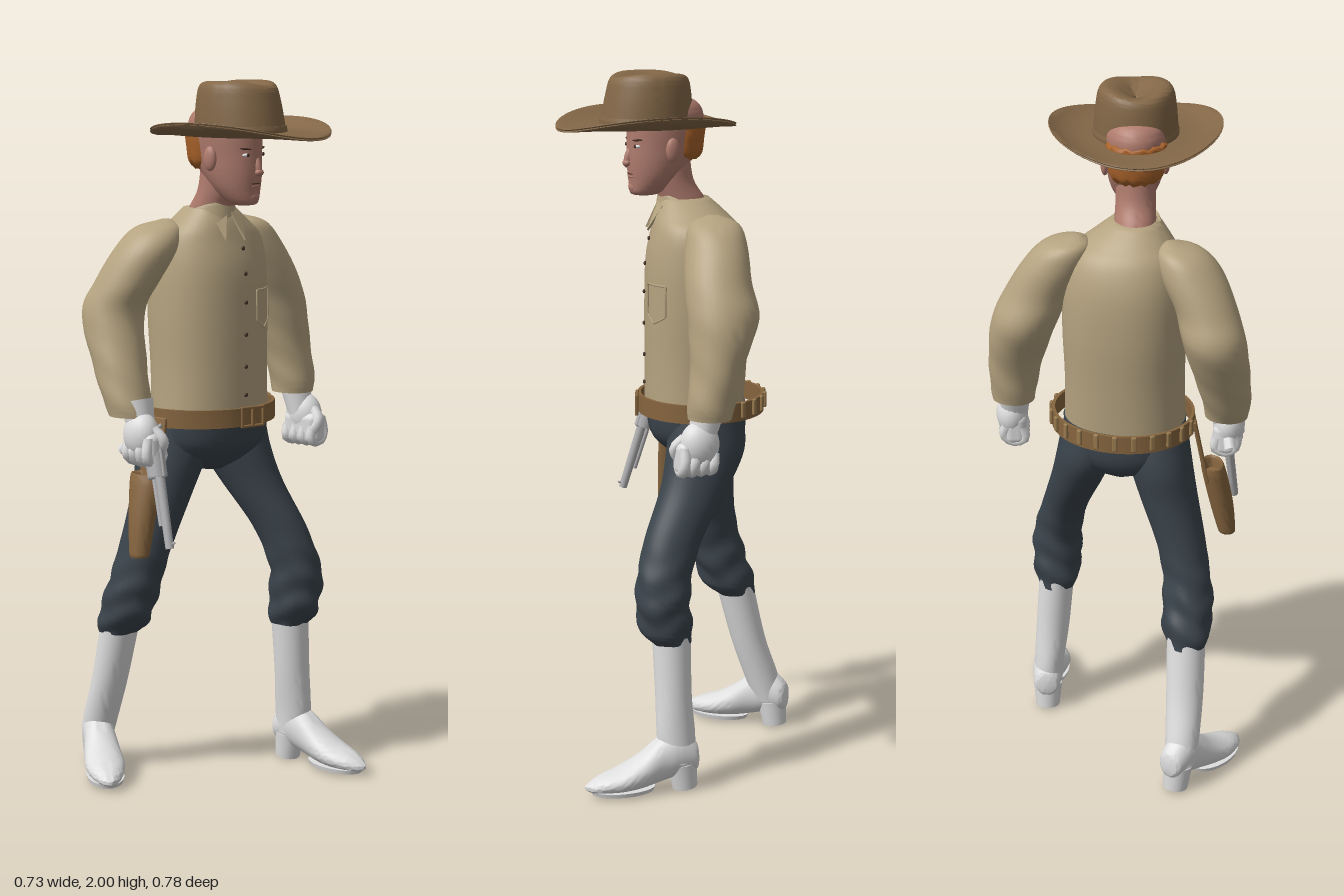
import * as THREE from 'three';
import { toCreasedNormals } from 'three/addons/utils/BufferGeometryUtils.js';
import { RoundedBoxGeometry } from 'three/addons/geometries/RoundedBoxGeometry.js';

const V = (x, y, z) => new THREE.Vector3(x, y, z);
const mat = (name, color) => Object.assign(new THREE.MeshStandardMaterial({ color }), { name });

// Skin a stack of oval rings [y, cx, cz, rx, rz], listed bottom to top.
function loft(rings, { n = 32, steps = 5, p = 1, warp, crease = 0.9, cap = true } = {}) {
  const centre = new THREE.CatmullRomCurve3(rings.map(r => V(r[1], r[0], r[2])), false, 'catmullrom', 0.5);
  const radius = new THREE.CatmullRomCurve3(rings.map(r => V(r[3], r[4], 0)), false, 'catmullrom', 0.5);
  const m = (rings.length - 1) * steps, pos = [], idx = [];
  const pw = v => Math.sign(v) * Math.abs(v) ** p;
  for (let i = 0; i <= m; i++) {
    const c = centre.getPoint(i / m), r = radius.getPoint(i / m);
    for (let j = 0; j < n; j++) {
      const a = j / n * Math.PI * 2;
      const v = V(c.x + r.x * pw(Math.sin(a)), c.y, c.z + r.y * pw(Math.cos(a)));
      if (warp) warp(v, a, c, i / m);
      pos.push(v.x, v.y, v.z);
      if (i < m) {
        const A = i * n + j, B = i * n + (j + 1) % n;
        idx.push(A, B, A + n, B, B + n, A + n);
      }
    }
  }
  if (cap) {
    const c0 = centre.getPoint(0), c1 = centre.getPoint(1), k = pos.length / 3;
    pos.push(c0.x, c0.y, c0.z, c1.x, c1.y, c1.z);
    for (let j = 0; j < n; j++) {
      const q = (j + 1) % n;
      idx.push(k, q, j, k + 1, m * n + j, m * n + q);
    }
  }
  const g = new THREE.BufferGeometry();
  g.setAttribute('position', new THREE.Float32BufferAttribute(pos, 3));
  g.setIndex(idx);
  return toCreasedNormals(g, crease);
}

export function createModel() {
  const root = new THREE.Group();
  const M = {
    hat: mat('hat brown', 0x836747), skin: mat('skin', 0xb07c6e), hair: mat('ginger hair', 0xa8622a),
    shirt: mat('tan shirt', 0xb5a380), trousers: mat('slate trousers', 0x3b444c), white: mat('white leather', 0xdedede),
    belt: mat('belt leather', 0x86653f), loop: mat('cartridge tan', 0x97794d), steel: mat('steel', 0xb2b2b4),
    dark: mat('dark detail', 0x4a3228),
  };
  const add = (name, geo, m, parent = root) => {
    const mesh = new THREE.Mesh(geo, m);
    mesh.name = name;
    parent.add(mesh);
    return mesh;
  };
  const ball = (name, m, x, y, z, sx, sy, sz, parent) => {
    const o = add(name, new THREE.SphereGeometry(1, 20, 14), m, parent);
    o.position.set(x, y, z);
    o.scale.set(sx, sy, sz);
    return o;
  };
  const rod = (name, m, a, b, r0, r1, parent, sides = 16) => {
    const o = add(name, new THREE.CylinderGeometry(r1, r0, a.distanceTo(b), sides), m, parent);
    o.position.copy(a).lerp(b, 0.5);
    o.quaternion.setFromUnitVectors(V(0, 1, 0), b.clone().sub(a).normalize());
    return o;
  };
  const finger = (name, m, pts, r, parent) =>
    add(name, new THREE.TubeGeometry(new THREE.CatmullRomCurve3(pts), 10, r, 8), m, parent);

  // Trunk, turned a little towards the right hand
  const trunk = new THREE.Group();
  trunk.name = 'trunk';
  trunk.position.set(-0.015, 0, -0.03);
  trunk.rotation.y = -0.3;
  const shirt = add('shirtBody', loft([[1.05, 0, 0.01, 0.172, 0.14], [1.2, 0, 0.005, 0.168, 0.145], [1.35, 0, 0, 0.172, 0.15],
    [1.48, 0, 0, 0.168, 0.146], [1.565, 0, 0.005, 0.152, 0.125], [1.61, -0.01, 0.02, 0.112, 0.1],
    [1.65, -0.02, 0.035, 0.07, 0.07]], { n: 40, p: 0.9 }), M.shirt, trunk);
  const ray = new THREE.Raycaster();
  const frontZ = (x, y) => {
    ray.set(V(x, y, 1), V(0, 0, -1));
    return ray.intersectObject(shirt)[0].point.z;
  };
  for (const y of [1.54, 1.47, 1.39, 1.3, 1.21, 1.13]) ball('button', M.dark, 0.02, y, frontZ(0.02, y) + 0.003, 0.006, 0.006, 0.004, trunk);
  // stitched chest pocket
  const pocket = [[0.065, 1.42], [0.1, 1.42], [0.138, 1.42], [0.138, 1.375], [0.138, 1.335], [0.1, 1.312], [0.065, 1.335], [0.065, 1.375]];
  add('pocketSeam', new THREE.TubeGeometry(new THREE.CatmullRomCurve3(
    pocket.map(q => V(q[0], q[1], frontZ(q[0], q[1]) + 0.002)), true, 'catmullrom', 0.05), 48, 0.003, 5, true), M.shirt, trunk);
  // collar, higher at the throat than at the nape
  add('collar', loft([[1.59, -0.02, 0.035, 0.08, 0.082], [1.63, -0.02, 0.037, 0.072, 0.074], [1.645, -0.02, 0.04, 0.065, 0.066],
    [1.61, -0.02, 0.037, 0.056, 0.056]], { warp: (v, a) => { v.y += 0.024 * Math.cos(a); } }), M.shirt, trunk);
  for (const s of [-1, 1]) {
    const tri = new THREE.Shape([[0.004, 0.035], [0.05, 0.03], [0.034, -0.05]].map(q => new THREE.Vector2(s * q[0], q[1])));
    const flap = add('collarPoint', new THREE.ExtrudeGeometry(tri, { depth: 0.006, bevelEnabled: false }), M.shirt, trunk);
    flap.position.set(-0.01, 1.61, 0.123);
    flap.rotation.set(-0.5, s * 0.3, 0);
  }
  add('hips', loft([[0.905, 0, -0.01, 0.04, 0.06], [0.935, 0, -0.01, 0.11, 0.1], [0.985, 0, 0, 0.165, 0.135],
    [1.07, 0, 0.005, 0.174, 0.142]], { p: 0.9 }), M.trousers, trunk);

  // Gun belt with buckle and cartridge loops
  const belt = new THREE.Group();
  belt.name = 'gunBelt';
  belt.rotation.y = -0.08;
  trunk.add(belt);
  add('belt', loft([[1.045, 0, -0.01, 0.195, 0.171], [1.045, 0, -0.01, 0.204, 0.18], [1.097, 0, -0.01, 0.204, 0.18],
    [1.097, 0, -0.01, 0.195, 0.171], [1.045, 0, -0.01, 0.195, 0.171]], { n: 48, steps: 1, crease: 0.6, cap: false }), M.belt, belt);
  for (const [x, y, w, h] of [[0, 0.026, 0.075, 0.008], [0, -0.026, 0.075, 0.008], [-0.035, 0, 0.008, 0.06], [0.035, 0, 0.008, 0.06], [0, 0, 0.008, 0.05]]) {
    const bar = add('buckle', new RoundedBoxGeometry(w, h, 0.01, 2, 0.003), M.belt, belt);
    bar.position.set(0.04 + x, 1.071 + y, 0.171);
  }
  for (let i = 0; i < 13; i++) {
    const a = 1.5 + i * 0.26;
    const loop = add('cartridgeLoop', new RoundedBoxGeometry(0.015, 0.046, 0.01, 2, 0.004), M.loop, belt);
    loop.position.set(0.207 * Math.sin(a), 1.076, -0.01 + 0.183 * Math.cos(a));
    loop.rotation.y = a;
  }
  root.add(trunk);

  // Sleeves
  const cuffFold = (v, a, c, t) => {
    const k = 1 + 0.025 * Math.sin(a * 3 + v.y * 60) * Math.max(0, 1 - t * 1.6);
    v.x = c.x + (v.x - c.x) * k;
    v.z = c.z + (v.z - c.z) * k;
  };
  add('leftSleeve', loft([[1.09, 0.295, 0.055, 0.06, 0.06], [1.13, 0.295, 0.052, 0.066, 0.066], [1.22, 0.288, 0.035, 0.076, 0.07],
    [1.355, 0.262, 0.004, 0.092, 0.098], [1.45, 0.22, 0.003, 0.092, 0.092], [1.54, 0.17, -0.012, 0.09, 0.085],
    [1.595, 0.14, -0.02, 0.066, 0.068], [1.618, 0.115, -0.025, 0.012, 0.015]], { warp: cuffFold }), M.shirt);
  add('rightSleeve', loft([[1.09, -0.3, -0.085, 0.06, 0.06], [1.13, -0.298, -0.1, 0.066, 0.066], [1.22, -0.283, -0.135, 0.076, 0.074],
    [1.36, -0.252, -0.183, 0.087, 0.088], [1.45, -0.23, -0.15, 0.085, 0.092], [1.54, -0.19, -0.11, 0.088, 0.092],
    [1.595, -0.162, -0.095, 0.064, 0.068], [1.618, -0.135, -0.085, 0.012, 0.015]], { warp: cuffFold }), M.shirt);

  // Trouser legs gathered above the boots
  const gather = (v, a, c) => {
    const w = Math.min(1, Math.max(0, (0.72 - v.y) * 5));
    const k = 1 + w * (0.05 * Math.sin(v.y * 70 + Math.sin(a * 2) * 2) + 0.035 * Math.sin(a * 5 + v.y * 30));
    v.x = c.x + (v.x - c.x) * k;
    v.z = c.z + (v.z - c.z) * k;
  };
  add('leftTrouserLeg', loft([[0.425, 0.18, 0.125, 0.054, 0.055], [0.47, 0.178, 0.14, 0.068, 0.074], [0.55, 0.178, 0.148, 0.073, 0.078],
    [0.62, 0.17, 0.142, 0.07, 0.078], [0.72, 0.15, 0.105, 0.067, 0.085], [0.85, 0.117, 0.03, 0.075, 0.1],
    [0.95, 0.093, -0.012, 0.083, 0.115], [1.04, 0.08, -0.02, 0.08, 0.11]], { warp: gather, steps: 8 }), M.trousers);
  add('rightTrouserLeg', loft([[0.425, -0.185, -0.225, 0.056, 0.056], [0.47, -0.187, -0.2, 0.07, 0.078], [0.55, -0.19, -0.172, 0.072, 0.08],
    [0.62, -0.188, -0.15, 0.068, 0.078], [0.72, -0.17, -0.125, 0.072, 0.08], [0.85, -0.137, -0.1, 0.083, 0.09],
    [0.95, -0.115, -0.085, 0.09, 0.105], [1.04, -0.105, -0.07, 0.088, 0.1]], { warp: gather, steps: 8 }), M.trousers);

  // Boots
  const boot = (side, x, z, yaw, shaft) => {
    add(side + 'BootShaft', loft(shaft), M.white);
    const g = new THREE.Group();
    g.name = side + 'Foot';
    g.position.set(x, 0, z);
    g.rotation.y = yaw;
    // rings run from heel to toe: [length, 0, -height, half width, half height]
    add('bootFoot', loft([[-0.06, 0, -0.09, 0.015, 0.025], [-0.05, 0, -0.092, 0.036, 0.045], [0, 0, -0.105, 0.046, 0.068],
      [0.05, 0, -0.09, 0.046, 0.066], [0.11, 0, -0.06, 0.054, 0.049], [0.165, 0, -0.042, 0.057, 0.035],
      [0.22, 0, -0.032, 0.043, 0.025], [0.25, 0, -0.026, 0.025, 0.016], [0.27, 0, -0.025, 0.004, 0.005]]).rotateX(Math.PI / 2), M.white, g);
    rod('bootHeel', M.white, V(0, 0, -0.022), V(0, 0.075, -0.012), 0.036, 0.044, g, 20);
    const sole = add('bootSole', new THREE.CylinderGeometry(1, 0.95, 0.012, 28), M.white, g);
    sole.position.set(0, 0.01, 0.16);
    sole.scale.set(0.054, 1, 0.094);
    root.add(g);
  };
  boot('left', 0.212, 0.12, -0.1, [[0.08, 0.212, 0.118, 0.044, 0.05], [0.16, 0.206, 0.122, 0.045, 0.056], [0.28, 0.194, 0.125, 0.05, 0.052], [0.45, 0.18, 0.125, 0.052, 0.056]]);
  boot('right', -0.165, -0.325, -0.76, [[0.08, -0.165, -0.325, 0.046, 0.046], [0.16, -0.172, -0.302, 0.05, 0.052], [0.28, -0.18, -0.262, 0.054, 0.052], [0.45, -0.185, -0.22, 0.056, 0.056]]);

  // Gloved hands
  const hand = (name, x, y, z, yaw, s) => {
    const g = new THREE.Group();
    g.name = name;
    g.position.set(x, y, z);
    g.rotation.y = yaw;
    g.scale.set(1.2, 1.08, 1.12);
    rod('gloveWrist', M.white, V(0, 0.02, -0.01), V(0, 0.1, -0.03), 0.032, 0.04, g);
    ball('palm', M.white, s * 0.006, 0.015, -0.005, 0.038, 0.06, 0.05, g);
    add('fist', new RoundedBoxGeometry(0.058, 0.09, 0.105, 4, 0.022), M.white, g).position.set(0, -0.018, 0.002);
    for (let i = 0; i < 4; i++) {
      const k = 0.037 - i * 0.025;
      finger('finger', M.white, [V(s * 0.018, 0.012 - i * 0.006, k), V(s * 0.026, -0.035, k + 0.004), V(s * 0.005, -0.056, k + 0.004),
        V(-s * 0.022, -0.045, k), V(-s * 0.016, -0.01, k)], 0.0135, g);
    }
    finger('thumb', M.white, [V(0, 0.035, 0.03), V(-s * 0.012, 0.005, 0.052), V(-s * 0.018, -0.03, 0.035)], 0.014, g);
    root.add(g);
  };
  hand('leftHand', 0.295, 1.005, 0.095, 0, 1);
  hand('rightHand', -0.305, 1.025, -0.035, -0.2, -1);

  // Revolver held muzzle down
  const gun = new THREE.Group();
  gun.name = 'revolver';
  gun.position.set(-0.314, 0.965, 0.01);
  gun.quaternion.setFromUnitVectors(V(0, -1, 0), V(-0.03, -0.22, 0.06).normalize());
  rod('barrel', M.steel, V(0, 0, 0.008), V(0, -0.235, 0.008), 0.014, 0.012, gun);
  rod('ejector', M.steel, V(0, -0.04, -0.012), V(0, -0.17, -0.01), 0.007, 0.007, gun);
  rod('drum', M.steel, V(0, 0.035, 0), V(0, -0.035, 0), 0.028, 0.028, gun, 12);
  rod('frontSight', M.steel, V(0, -0.222, 0.015), V(0, -0.222, 0.028), 0.004, 0.003, gun, 6);
  add('frame', new RoundedBoxGeometry(0.02, 0.12, 0.06, 2, 0.006), M.steel, gun).position.set(0, 0.02, 0);
  finger('grip', M.white, [V(0, 0.07, 0), V(0, 0.085, -0.03), V(0, 0.07, -0.075), V(0, 0.055, -0.11)], 0.017, gun);
  finger('hammer', M.steel, [V(0, 0.07, 0.01), V(0, 0.095, 0.025), V(0, 0.105, 0.04)], 0.006, gun);
  const guard = add('triggerGuard', new THREE.TorusGeometry(0.024, 0.004, 6, 18), M.steel, gun);
  guard.position.set(0, 0.03, -0.045);
  guard.rotation.y = Math.PI / 2;
  root.add(gun);

  // Holster hanging from the belt
  add('holster', loft([[0.695, -0.312, -0.052, 0.022, 0.026], [0.705, -0.31, -0.052, 0.026, 0.03], [0.8, -0.292, -0.056, 0.034, 0.04],
    [0.91, -0.267, -0.06, 0.034, 0.05], [0.92, -0.264, -0.06, 0.026, 0.042], [0.89, -0.267, -0.06, 0.02, 0.036]], { n: 24 }), M.belt);
  const strap = add('holsterStrap', new RoundedBoxGeometry(0.012, 0.2, 0.07, 2, 0.004), M.belt);
  strap.position.set(-0.228, 0.975, -0.065);
  strap.rotation.z = -0.2;

  // Head
  const head = new THREE.Group();
  head.name = 'head';
  head.position.x = -0.048;
  add('neck', loft([[1.58, 0.005, -0.008, 0.062, 0.066], [1.64, 0.003, 0.002, 0.058, 0.066], [1.7, 0, 0.03, 0.055, 0.058], [1.78, 0, 0.045, 0.056, 0.06]]), M.skin, head);
  add('face', loft([[1.66, 0, 0.117, 0.014, 0.014], [1.668, 0, 0.112, 0.038, 0.044], [1.705, 0, 0.093, 0.061, 0.067], [1.75, 0, 0.075, 0.074, 0.089],
    [1.8, 0, 0.062, 0.08, 0.102], [1.86, 0, 0.053, 0.085, 0.11], [1.9, 0, 0.052, 0.08, 0.102],
    [1.925, 0, 0.055, 0.055, 0.075], [1.935, 0, 0.055, 0.01, 0.01]]), M.skin, head);
  add('hair', loft([[1.76, 0, 0.015, 0.055, 0.052], [1.78, 0, 0.01, 0.073, 0.062], [1.82, 0, 0.009, 0.08, 0.066],
    [1.85, 0, 0.007, 0.082, 0.068], [1.868, 0, 0.007, 0.081, 0.067], [1.874, 0, 0.012, 0.06, 0.055]],
    { warp: (v, a) => { v.y += 0.004 * Math.sin(a * 12); } }), M.hair, head);
  ball('nose', M.skin, 0, 1.768, 0.163, 0.011, 0.03, 0.011, head).rotation.x = -0.25;
  ball('noseTip', M.skin, 0, 1.752, 0.168, 0.015, 0.01, 0.011, head);
  ball('mouth', M.dark, 0, 1.722, 0.157, 0.022, 0.0025, 0.006, head);
  ball('lowerLip', M.skin, 0, 1.714, 0.155, 0.022, 0.006, 0.007, head);
  ball('chin', M.skin, 0, 1.685, 0.147, 0.024, 0.018, 0.014, head);
  for (const s of [-1, 1]) {
    ball('eye', M.white, s * 0.036, 1.8, 0.148, 0.013, 0.005, 0.009, head);
    ball('iris', M.dark, s * 0.036, 1.8, 0.156, 0.006, 0.005, 0.003, head);
    ball('eyebrow', M.dark, s * 0.038, 1.817, 0.15, 0.021, 0.003, 0.006, head).rotation.set(0, s * 0.35, s * 0.1);
    ball('ear', M.skin, s * 0.083, 1.79, 0.062, 0.012, 0.034, 0.02, head);
  }
  root.add(head);

  // Hat: brim rolled up at the sides, crown pinched and creased
  const hat = new THREE.Group();
  hat.name = 'hat';
  hat.position.set(-0.052, 0, 0.108);
  const brimRings = [[1.85, 0, 0, 0.1, 0.112], [1.85, 0, 0, 0.17, 0.185], [1.85, 0, 0, 0.232, 0.247], [1.855, 0, 0, 0.235, 0.25],
    [1.86, 0, 0, 0.232, 0.247], [1.86, 0, 0, 0.17, 0.185], [1.862, 0, 0, 0.1, 0.112]];
  add('brim', loft(brimRings, {
    n: 64, steps: 4, warp: v => {
      const t = Math.max(0, Math.hypot(v.x, v.z) - 0.1) / 0.14;
      v.y += 0.037 * t * t * (v.x / 0.235) ** 2 - 0.006 * t * (v.z / 0.25) ** 2;
    },
  }), M.hat, hat);
  add('crown', loft([[1.852, 0, 0, 0.117, 0.131], [1.9, 0, -0.004, 0.114, 0.126], [1.95, 0, -0.007, 0.109, 0.119], [1.984, 0, -0.008, 0.102, 0.112],
    [1.999, 0, -0.008, 0.087, 0.099], [1.994, 0, -0.008, 0.055, 0.062], [1.975, 0, -0.008, 0.02, 0.024], [1.967, 0, -0.008, 0.003, 0.003]], {
    n: 48, warp: (v, a, c, t) => {
      const k = Math.max(0, Math.min(1, t * 3 - 0.6));
      v.y -= 0.012 * k * Math.cos(a) ** 4;
      v.x *= 1 - 0.1 * k * Math.max(0, Math.cos(a)) ** 2;
    },
  }), M.hat, hat);
  add('hatBand', loft([[1.862, 0, 0, 0.118, 0.132], [1.872, 0, -0.001, 0.1185, 0.1325], [1.88, 0, -0.001, 0.116, 0.13]], { n: 48, steps: 2 }), M.hat, hat);
  root.add(hat);
  return root;
}
